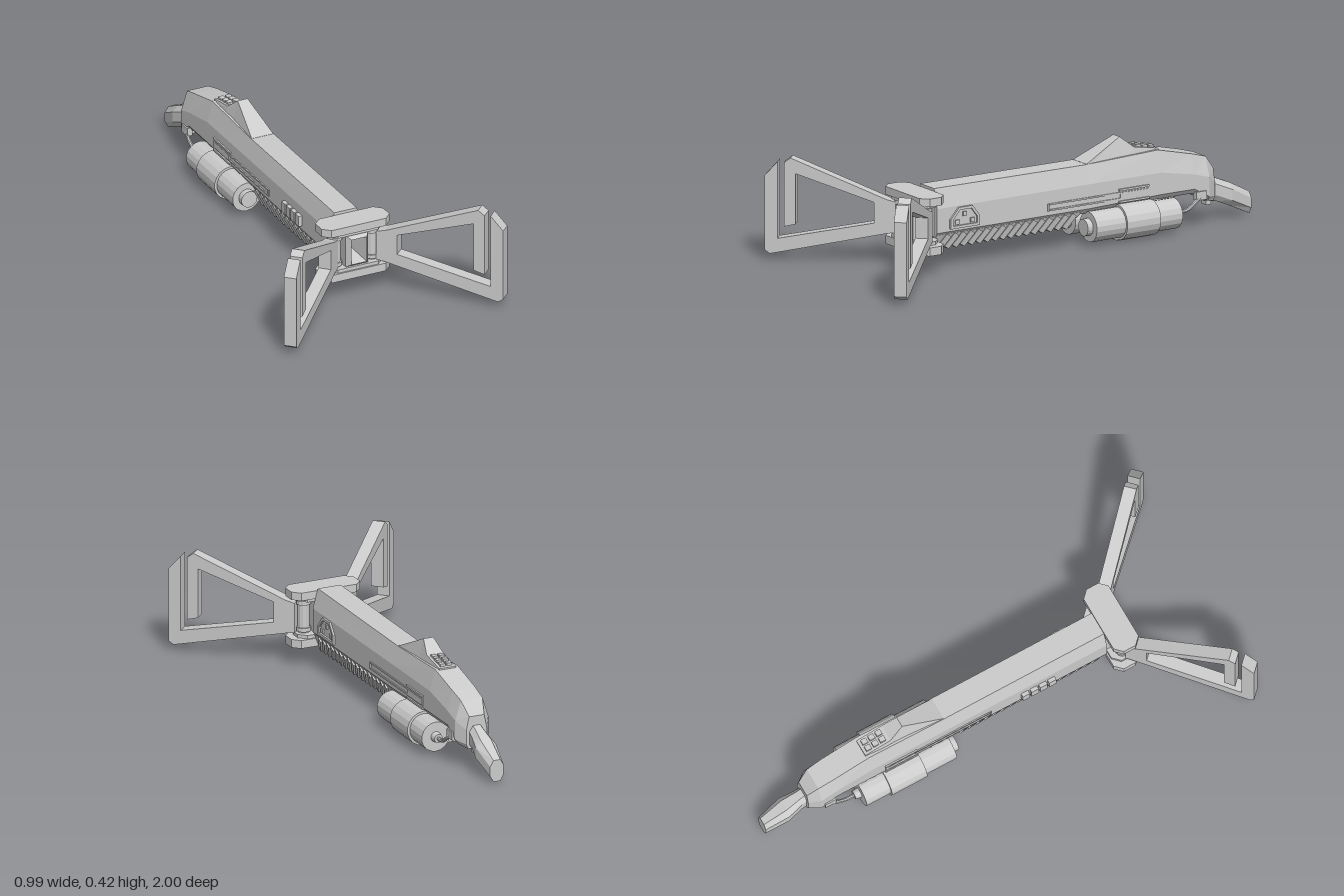
import * as THREE from 'three';

const mat = new THREE.MeshStandardMaterial({ color: 0xcccccc, flatShading: true, side: THREE.DoubleSide });

function add(parent, name, geo, x = 0, y = 0, z = 0) {
  const m = new THREE.Mesh(geo, mat);
  m.name = name;
  m.position.set(x, y, z);
  parent.add(m);
  return m;
}
const box = (w, h, d) => new THREE.BoxGeometry(w, h, d);
const cyl = (r0, r1, len, n = 18) => new THREE.CylinderGeometry(r0, r1, len, n);
const shapeOf = pts => new THREE.Shape(pts.map(p => new THREE.Vector2(p[0], p[1])));
const extrude = (shape, depth) => new THREE.ExtrudeGeometry(shape, { depth, bevelEnabled: false, curveSegments: 10 });

// Skin over cross-sections { z, pts } running towards -z, each loop anticlockwise seen from +z
function loft(sections) {
  const n = sections[0].pts.length, pos = [], idx = [];
  for (const s of sections) for (const [x, y] of s.pts) pos.push(x, y, s.z);
  for (let i = 0; i < sections.length - 1; i++)
    for (let j = 0; j < n; j++) {
      const a = i * n + j, b = i * n + (j + 1) % n, c = b + n, d = a + n;
      idx.push(a, d, c, a, c, b);
    }
  const last = (sections.length - 1) * n;
  for (let j = 1; j < n - 1; j++) idx.push(0, j, j + 1, last, last + j + 1, last + j);
  const g = new THREE.BufferGeometry();
  g.setAttribute('position', new THREE.Float32BufferAttribute(pos, 3));
  g.setIndex(idx);
  const flat = g.toNonIndexed();
  flat.computeVertexNormals();
  return flat;
}
// Four-sided section: bottom and top half widths and heights
const quad = (z, wb, yb, wt, yt) => ({ z, pts: [[-wb, yb], [wb, yb], [wt, yt], [-wt, yt]] });

function buildBody(g) {
  // Main housing: narrow flat top, sloping shoulders, dropping tail
  const rows = [ // z, yBottom, yShoulder, yTop, half width, half top width
    [0.53, 0.13, 0.25, 0.33, 0.072, 0.05], [-0.2, 0.13, 0.25, 0.326, 0.072, 0.05],
    [-0.54, 0.14, 0.25, 0.338, 0.073, 0.05], [-0.7, 0.14, 0.22, 0.3, 0.073, 0.05],
    [-0.77, 0.1, 0.2, 0.28, 0.073, 0.047], [-0.815, 0.09, 0.17, 0.225, 0.045, 0.033]];
  add(g, 'housing', loft(rows.map(([z, b, s, t, w, wt]) => ({
    z, pts: [[-w * 0.8, b], [w * 0.8, b], [w, b + 0.02], [w, s], [wt, t], [-wt, t], [-w, s], [-w, b + 0.02]]
  }))));

  // Rear grip
  const grip = [[-0.78, 0.09, 0.2, 0.03], [-0.84, 0.08, 0.175, 0.034], [-0.9, 0.055, 0.15, 0.045], [-1, 0.008, 0.098, 0.03]];
  add(g, 'rearGrip', loft(grip.map(([z, b, t, w]) => ({
    z, pts: [[-w * 0.5, b], [w * 0.5, b], [w, b + 0.025], [w, t - 0.025], [w * 0.5, t], [-w * 0.5, t], [-w, t - 0.025], [-w, b + 0.025]]
  }))));
  add(g, 'gripTab', box(0.03, 0.04, 0.025), 0, 0.09, -0.805);

  // Ribbed foregrip
  add(g, 'foregripCore', loft([quad(0.53, 0.045, 0.085, 0.066, 0.14), quad(-0.11, 0.045, 0.085, 0.066, 0.14),
    quad(-0.16, 0.06, 0.13, 0.066, 0.14)]));
  for (let i = 0; i < 17; i++)
    add(g, 'foregripRib', loft([0.012, -0.012].map(z => quad(z, 0.052, -0.033, 0.072, 0.033))), 0, 0.108, 0.49 - i * 0.0375)
      .rotation.x = -0.6;

  // Sight ramp and button panel
  add(g, 'sightRamp', loft([quad(-0.2, 0.05, 0.31, 0.048, 0.327), quad(-0.375, 0.045, 0.31, 0.022, 0.41),
    quad(-0.435, 0.045, 0.31, 0.036, 0.362), quad(-0.55, 0.045, 0.31, 0.036, 0.342)]));
  for (let i = 0; i < 3; i++)
    for (const x of [-0.015, 0.015])
      add(g, 'panelButton', box(0.022, 0.014, 0.024), x, 0.36 - i * 0.006, -0.462 - i * 0.032);

  // Side rails, on both sides
  for (const s of [-1, 1]) {
    for (const y of [0.171, 0.195]) add(g, 'railEdge', box(0.01, 0.006, 0.47), s * 0.072, y, -0.24);
    for (const z of [0, -0.475]) add(g, 'railEnd', box(0.01, 0.03, 0.006), s * 0.072, 0.183, z);
    for (const y of [0.158, 0.207]) add(g, 'railBlockEdge', box(0.014, 0.008, 0.145), s * 0.072, y, -0.408);
    add(g, 'railBlock', box(0.012, 0.024, 0.13), s * 0.072, 0.183, -0.408);
  }

  // Vent frame with three studs on the left side
  const vent = shapeOf([[-0.47, 0.16], [-0.33, 0.16], [-0.33, 0.2], [-0.365, 0.245], [-0.43, 0.245], [-0.47, 0.2]]);
  vent.holes.push(new THREE.Path([[-0.458, 0.171], [-0.342, 0.171], [-0.342, 0.197], [-0.37, 0.234], [-0.425, 0.234], [-0.458, 0.197]]
    .map(p => new THREE.Vector2(...p))));
  add(g, 'ventFrame', extrude(vent, 0.022).rotateY(Math.PI / 2), 0.058);
  for (const [z, y] of [[0.437, 0.185], [0.4, 0.215], [0.363, 0.185]]) add(g, 'ventStud', box(0.012, 0.018, 0.018), 0.072, y, z);

  // Row of keys on the right side
  for (let i = 0; i < 4; i++) add(g, 'sideKey', box(0.02, 0.045, 0.032), -0.078, 0.19, 0.155 + i * 0.04);
}

function buildCanisters(g) {
  for (const s of [-1, 1]) {
    const x = s * 0.076, y = 0.078;
    const part = (name, r0, r1, z0, z1) => add(g, name, cyl(r0, r1, z0 - z1).rotateX(Math.PI / 2), x, y, (z0 + z1) / 2);
    part('canister', 0.062, 0.062, -0.19, -0.6);
    part('canisterCap', 0.035, 0.035, -0.165, -0.19);
    part('canisterCollar', 0.072, 0.072, -0.33, -0.49);
    part('canisterValve', 0.022, 0.018, -0.6, -0.625);
    // Hose into the housing
    const path = new THREE.CatmullRomCurve3([[x, y, -0.61], [x, 0.08, -0.66], [x, 0.105, -0.7], [s * 0.07, 0.125, -0.73], [s * 0.055, 0.135, -0.75]]
      .map(p => new THREE.Vector3(...p)));
    add(g, 'hose', new THREE.TubeGeometry(path, 14, 0.008, 8));
    add(g, 'hoseSocket', box(0.024, 0.035, 0.05), s * 0.067, 0.13, -0.73);
  }
  // Strap closing the gap below and between the canisters
  add(g, 'canisterStrap', box(0.152, 0.03, 0.16), 0, 0.016, -0.41);
  add(g, 'canisterMount', box(0.09, 0.1, 0.16), 0, 0.1, -0.41);
}

function buildFront(g) {
  // Hinge plates with cut corners
  const plate = (w, d, c) => shapeOf([[-w, -d + c], [-w + c, -d], [w - c, -d], [w, -d + c], [w, d - c], [w - c, d], [-w + c, d], [-w, d - c]]);
  const layer = (name, y0, y1, w, d) => add(g, name, extrude(plate(w, d, 0.03), y1 - y0).rotateX(-Math.PI / 2), 0, y0, 0.59);
  layer('upperHingePlate', 0.287, 0.32, 0.151, 0.057);
  layer('upperHingeLip', 0.274, 0.287, 0.12, 0.05);
  layer('lowerHingePlate', 0.086, 0.12, 0.151, 0.057);
  layer('lowerHingeLip', 0.12, 0.134, 0.12, 0.05);
  for (const s of [-1, 1]) {
    add(g, 'hingePin', cyl(0.024, 0.024, 0.15, 12), s * 0.082, 0.204, 0.595);
    for (const y of [0.147, 0.26]) add(g, 'hingeRing', cyl(0.03, 0.03, 0.016, 12), s * 0.082, y, 0.595);
  }

  // Square flared muzzle with a recessed bore
  const ring = (z, w, h) => ({ z, pts: [[-w, 0.204 - h], [w, 0.204 - h], [w, 0.204 + h], [-w, 0.204 + h]] });
  add(g, 'muzzle', loft([ring(0.56, 0.012, 0.03), ring(0.65, 0.034, 0.055), ring(0.63, 0.05, 0.07), ring(0.53, 0.05, 0.07)]));
}

function buildArm(g, side) {
  // Split triangular frame: lower bar rises outside, upper bar hooks down inside
  const k = Math.SQRT2;
  const pts = [[0.085, 0.135], [0.11, 0.13], [0.445, 0.025], [0.46, 0.04], [0.46, 0.344], [0.423, 0.403], [0.423, 0.089], [0.147, 0.17],
    [0.147, 0.255], [0.372, 0.357], [0.372, 0.15], [0.405, 0.138], [0.405, 0.4], [0.386, 0.42], [0.11, 0.268], [0.085, 0.26]];
  const geo = extrude(shapeOf(pts.map(([u, y]) => [u * k, y])), 0.052).translate(0, 0, -0.026);
  add(g, side > 0 ? 'leftArm' : 'rightArm', geo, side * 0.0185, 0, 0.5215).rotation.y = side > 0 ? -Math.PI / 4 : -Math.PI * 3 / 4;
}

export function createModel() {
  const model = new THREE.Group();
  model.name = 'launcher';
  const core = new THREE.Group();
  core.name = 'core';
  core.position.x = -0.003;
  model.add(core);
  buildBody(core);
  buildCanisters(core);
  buildFront(core);
  for (const side of [-1, 1]) buildArm(model, side);
  return model;
}
